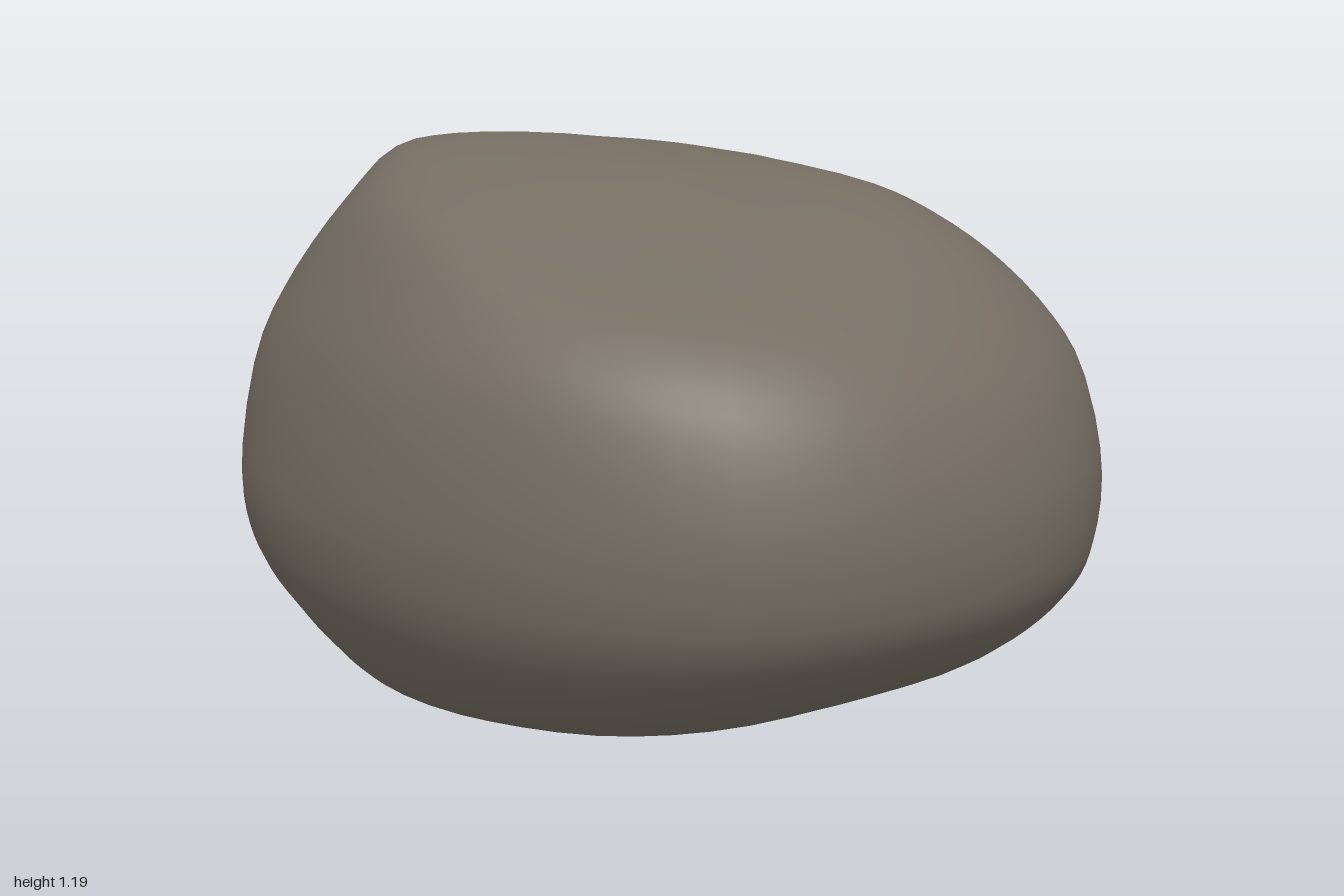
import * as THREE from 'three';

const SEGMENTS = 56, RINGS = 40;

// Plan outline: radius every 22.5 degrees, from +x towards +z
const outline = [0.99, 1.035, 1.04, 1.04, 0.98, 0.925, 0.91, 0.947,
  0.985, 1.035, 1.045, 1.04, 0.985, 0.91, 0.9, 0.935];

// Upper surface: heights every 45 degrees at these fractions of the radius
const upperSpan = [0.25, 0.5, 0.63, 0.75, 0.87, 0.95, 1];
const upperHeight = [
  [1.14, 1.085, 1.025, 0.945, 0.83, 0.71, 0.5],
  [1.13, 1.035, 0.965, 0.9, 0.8, 0.68, 0.5],
  [1.145, 1.055, 0.995, 0.935, 0.85, 0.74, 0.5],
  [1.17, 1.135, 1.105, 1.06, 0.89, 0.72, 0.45],
  [1.19, 1.187, 1.155, 1.02, 0.87, 0.72, 0.45],
  [1.17, 1.1, 1.04, 0.955, 0.84, 0.68, 0.45],
  [1.15, 1.05, 0.985, 0.9, 0.79, 0.665, 0.45],
  [1.14, 1.035, 0.965, 0.88, 0.77, 0.65, 0.48],
];

// Underside curling in to the open rim: [fraction of radius, height],
// and how far each of the eight directions is tucked inwards
const lower = [[0.99, 0.34], [0.96, 0.26], [0.9, 0.18], [0.82, 0.105], [0.73, 0.052], [0.655, 0.03]];
const tuck = [0.02, 0.08, -0.03, -0.065, 0.07, 0.08, -0.02, -0.05];

// Smooth periodic interpolation around the stone (t from 0 to 1)
function around(values, t) {
  const n = values.length, s = t * n, i = Math.floor(s), f = s - i;
  const [a, b, c, d] = [-1, 0, 1, 2].map((k) => values[(i + k + n) % n]);
  return b + 0.5 * f * (c - a + f * (2 * a - 5 * b + 4 * c - d + f * (3 * (b - c) + d - a)));
}

// One meridian from the crown down to the rim
function meridian(t) {
  const angle = t * Math.PI * 2, r = around(outline, t);
  const cos = Math.cos(angle), sin = Math.sin(angle);
  const at = (f, y) => new THREE.Vector3(f * r * cos, y, f * r * sin);
  const points = [at(0, 1.165)];
  upperSpan.forEach((f, k) => points.push(at(f, around(upperHeight.map((row) => row[k]), t))));
  // The rim dips at the front and is slightly uneven
  const dip = 0.026 * Math.max(0, sin * 0.92 - cos * 0.39);
  const chip = 0.005 * Math.sin(angle * 7) * Math.cos(angle * 4);
  lower.forEach(([f, y], k) => {
    const w = k / (lower.length - 1);
    const inset = around(tuck, t) * Math.min(1, (k / 4) ** 2);
    points.push(at(f - inset + 2 * chip * w, y - (dip - chip) * w));
  });
  return new THREE.CatmullRomCurve3(points, false, 'centripetal').getPoints(RINGS);
}

function stoneGeometry() {
  const columns = Array.from({ length: SEGMENTS }, (_, j) => meridian(j / SEGMENTS));
  const positions = [...columns[0][0].toArray()];
  const index = [];
  const id = (i, j) => (i === 0 ? 0 : 1 + (i - 1) * SEGMENTS + (j % SEGMENTS));
  for (let i = 1; i <= RINGS; i++) {
    for (let j = 0; j < SEGMENTS; j++) positions.push(...columns[j][i].toArray());
  }
  for (let i = 0; i < RINGS; i++) {
    for (let j = 0; j < SEGMENTS; j++) {
      const a = id(i, j), b = id(i, j + 1), c = id(i + 1, j), d = id(i + 1, j + 1);
      if (i > 0) index.push(a, b, c);
      index.push(b, d, c);
    }
  }
  const geometry = new THREE.BufferGeometry();
  geometry.setAttribute('position', new THREE.Float32BufferAttribute(positions, 3));
  geometry.setIndex(index);
  geometry.computeVertexNormals();
  return geometry;
}

export function createModel() {
  const group = new THREE.Group();
  group.name = 'boulder';
  const stone = new THREE.MeshStandardMaterial({ color: 0x756d62, side: THREE.DoubleSide });
  stone.name = 'stone';

  // Hollow stone shell, open underneath
  const shell = new THREE.Mesh(stoneGeometry(), stone);
  shell.name = 'stoneShell';
  group.add(shell);
  return group;
}
